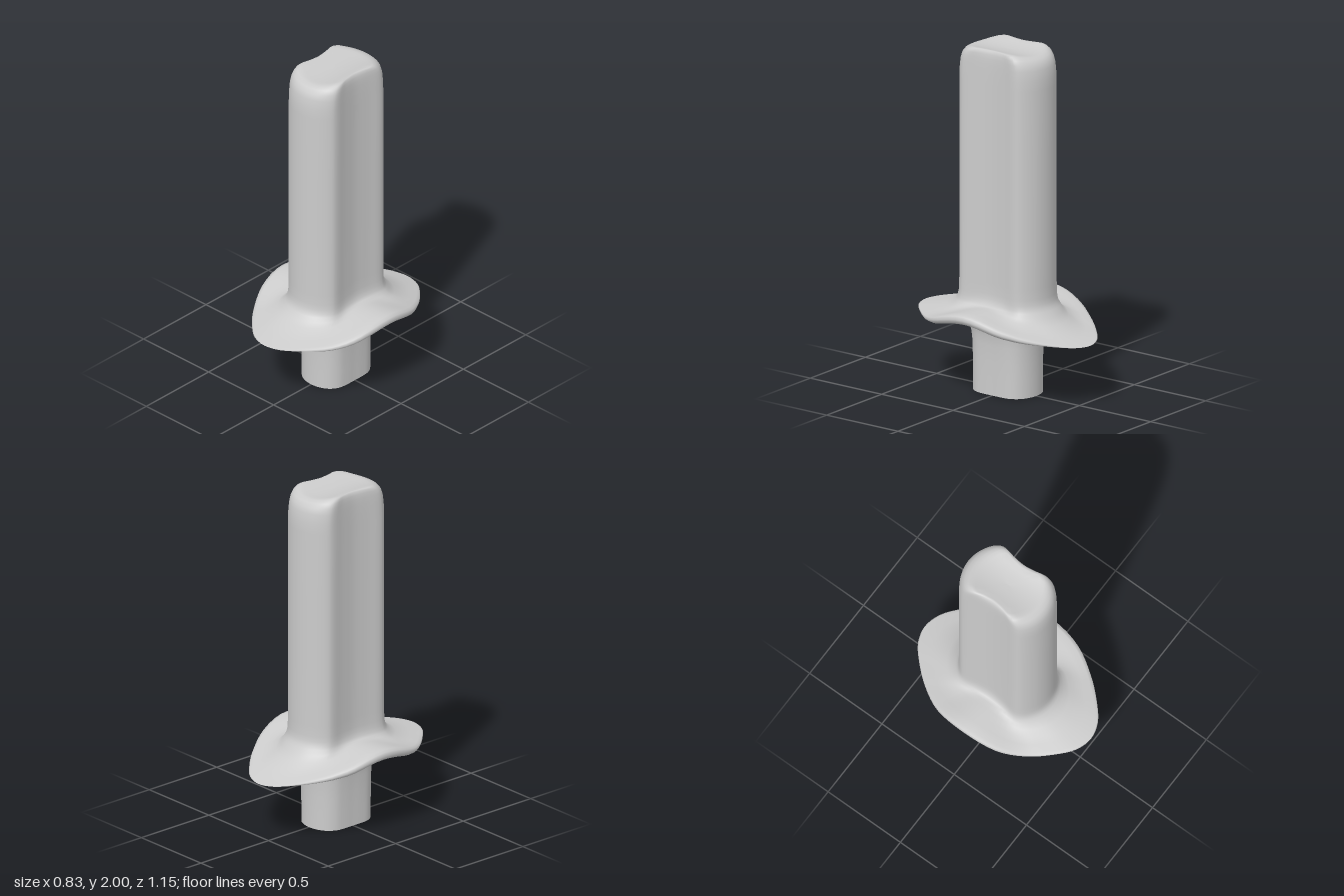
import * as THREE from 'three';

const SEGMENTS = 80;

// Closed outline from a quarter profile [x, z], running from the front tip to the +x side
function outline(quarter) {
  const back = quarter.slice(0, -1).reverse().map(([x, z]) => [x, -z]);
  const half = [...quarter, ...back];
  const other = half.slice(1, -1).reverse().map(([x, z]) => [-x, z]);
  const points = [...half, ...other].map(([x, z]) => new THREE.Vector3(x, 0, z));
  const curve = new THREE.CatmullRomCurve3(points, true);
  return Array.from({ length: SEGMENTS }, (_, i) => curve.getPoint(i / SEGMENTS));
}

const STEM = outline([[0, 0.2], [0.06, 0.19], [0.11, 0.16], [0.138, 0.115], [0.145, 0.06], [0.145, 0]]);
const GUARD = outline([[0, 0.575], [0.1, 0.548], [0.2, 0.465], [0.3, 0.35], [0.385, 0.2], [0.415, 0]]);
const BLADE = outline([[0, 0.285], [0.08, 0.27], [0.145, 0.228], [0.172, 0.185], [0.16, 0.09], [0.152, 0]]);

const ease = (t) => Math.sin(Math.min(1, t) * Math.PI / 2) ** 2;

// Underside height of the guard rim: arched at the sides, lower at the back tip
function rimHeight(p) {
  const u = Math.abs(p.z) / 0.575;
  return p.z > 0
    ? 0.47 - 0.062 * ease(u / 0.65) + 0.04 * Math.max(0, u - 0.65)
    : 0.47 - 0.065 * ease(u / 0.6) - 0.09 * Math.max(0, u - 0.5);
}

// The rim is thick at the sides and sharp at the tips
const rimThickness = (p) => 0.055 * (p.x / 0.415) ** 2;

// Ring spreading from an inner outline towards the guard's edge;
// follow = how far it takes the rim's height, side = 0 underside to 1 top
function guardRing(inner, spread, y, follow, side) {
  return inner.map((p, i) => {
    const g = GUARD[i];
    const q = p.clone().lerp(g, spread);
    q.y = THREE.MathUtils.lerp(y, rimHeight(g) + side * rimThickness(g), follow);
    return q;
  });
}

// Blade ring scaled in x and z, with a hollow running along the middle of the top
function bladeRing(sx, sz, y, hollow = 0) {
  return BLADE.map((p) => {
    const x = p.x * sx;
    const dip = 0.021 * hollow * (1 - Math.min(1, (x / 0.135) ** 2));
    return new THREE.Vector3(x, y - dip, p.z * sz);
  });
}

// Skin a stack of rings
function loft(rings) {
  const positions = rings.flat().flatMap((p) => [p.x, p.y, p.z]);
  const indices = [];
  for (let r = 0; r < rings.length - 1; r++) {
    for (let j = 0; j < SEGMENTS; j++) {
      const k = (j + 1) % SEGMENTS;
      const a = r * SEGMENTS + j, b = r * SEGMENTS + k;
      indices.push(a, b, b + SEGMENTS, a, b + SEGMENTS, a + SEGMENTS);
    }
  }
  const geometry = new THREE.BufferGeometry();
  geometry.setAttribute('position', new THREE.Float32BufferAttribute(positions, 3));
  geometry.setIndex(indices);
  geometry.computeVertexNormals();
  return geometry;
}

export function createModel() {
  const rings = [
    // open hollow stem, flaring into the guard
    ...[[0, 0], [0, 0.1], [0.002, 0.2], [0.012, 0.29], [0.03, 0.34], [0.06, 0.375]]
      .map(([spread, y]) => guardRing(STEM, spread, y, 0, 0)),
    // guard underside
    ...[[0.1, 0.395, 0.25], [0.17, 0.405, 0.5], [0.35, 0.41, 0.7], [0.6, 0.41, 0.85], [0.8, 0.41, 0.95], [0.93, 0.41, 1]]
      .map(([spread, y, follow]) => guardRing(STEM, spread, y, follow, 0)),
    // rounded rim
    guardRing(STEM, 0.985, 0.41, 1, 0.2),
    guardRing(STEM, 1, 0.41, 1, 0.5),
    guardRing(BLADE, 0.98, 0.5, 1, 0.85),
    // guard top
    ...[[0.9, 0.515, 0.94, 1], [0.7, 0.515, 0.82, 1], [0.5, 0.515, 0.65, 1], [0.3, 0.515, 0.42, 1], [0.17, 0.515, 0.2, 1]]
      .map((r) => guardRing(BLADE, ...r)),
    // fillet up into the blade
    ...[[0.09, 0.52], [0.045, 0.535], [0.018, 0.56], [0.005, 0.59]]
      .map(([spread, y]) => guardRing(BLADE, spread, y, 0, 1)),
    // blade walls
    ...[0.65, 1, 1.4, 1.8].map((y) => bladeRing(1, 1, y)),
    // rounded, hollowed tip
    ...[
      [1, 0.99, 1.86], [0.995, 0.965, 1.915], [0.985, 0.92, 1.95, 0.1], [0.965, 0.85, 1.975, 0.3],
      [0.93, 0.76, 1.991, 0.6], [0.88, 0.68, 1.998, 0.85], [0.8, 0.6, 2, 1],
      [0.6, 0.45, 2, 1], [0.4, 0.3, 2, 1], [0.2, 0.15, 2, 1], [0, 0, 2, 1],
    ].map((r) => bladeRing(...r)),
  ];

  const body = new THREE.Mesh(
    loft(rings),
    new THREE.MeshStandardMaterial({ color: 0xcccccc, side: THREE.DoubleSide })
  );
  body.name = 'bladeGuardAndStem';

  const model = new THREE.Group();
  model.name = 'guardedBlade';
  model.add(body);
  return model;
}
